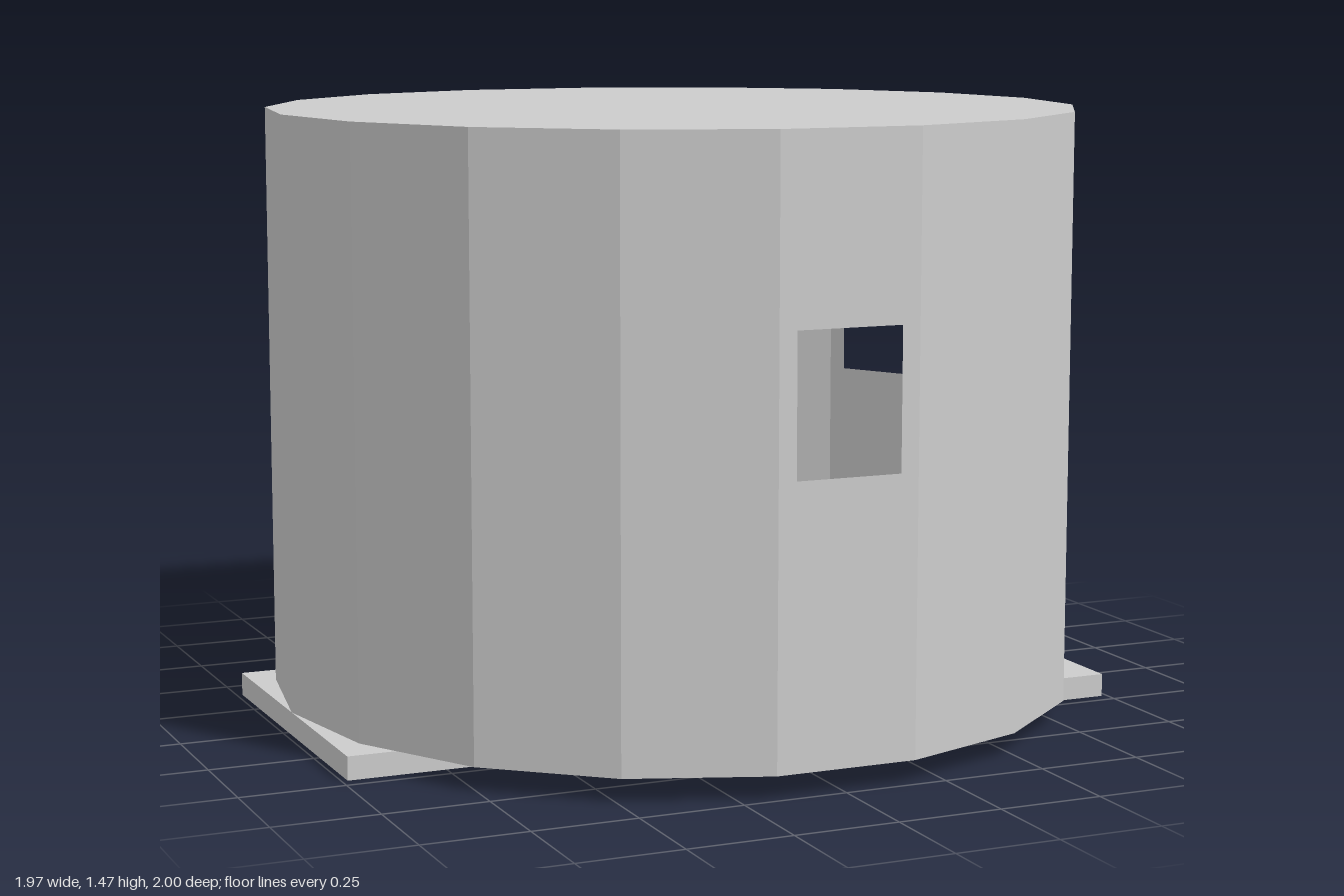
import * as THREE from 'three';

const SIDES = 18, RADIUS = 0.986, BOTTOM = 0.056, TOP = 1.474, CENTRE_Z = 0.029;
const STEP = (Math.PI * 2) / SIDES;
const APOTHEM = RADIUS * Math.cos(STEP / 2);
const HALF = RADIUS * Math.sin(STEP / 2);
const WIN = { w: 0.128, y0: 0.71, y1: 1.04 };

// Rectangle outline as a list of points
const rect = (w, y0, y1) => [[-w, y0], [w, y0], [w, y1], [-w, y1]].map(([x, y]) => new THREE.Vector2(x, y));

export function createModel() {
  const model = new THREE.Group();
  const grey = new THREE.MeshStandardMaterial({ color: 0xcccccc, side: THREE.DoubleSide });
  grey.name = 'pale grey';

  const add = (name, geometry, parent = model) => {
    const mesh = new THREE.Mesh(geometry, grey);
    mesh.name = name;
    parent.add(mesh);
    return mesh;
  };

  // Faceted shell of single-sheet panels, three of them with window openings
  const drum = new THREE.Group();
  drum.name = 'drum';
  drum.position.z = CENTRE_Z;
  model.add(drum);
  const windowPanels = [0, 6, 9]; // front, left rear, back
  for (let i = 0; i < SIDES; i++) {
    const shape = new THREE.Shape(rect(HALF, BOTTOM, TOP));
    if (windowPanels.includes(i)) shape.holes.push(new THREE.Path(rect(WIN.w, WIN.y0, WIN.y1).reverse()));
    const panel = add(windowPanels.includes(i) ? 'windowPanel' : 'wallPanel', new THREE.ShapeGeometry(shape), drum);
    panel.position.set(Math.sin(i * STEP) * APOTHEM, 0, Math.cos(i * STEP) * APOTHEM);
    panel.rotation.y = i * STEP;
  }

  // Flat roof; the drum is open underneath
  const roof = add('roof', new THREE.CircleGeometry(RADIUS, SIDES).rotateX(-Math.PI / 2), drum);
  roof.position.y = TOP;

  // Base slab
  const slab = add('baseSlab', new THREE.BoxGeometry(RADIUS * 2, BOTTOM, 0.87));
  slab.position.set(0, BOTTOM / 2, CENTRE_Z);

  // Thin open frame just behind the back window
  const frame = new THREE.Group();
  frame.name = 'backWindowFrame';
  model.add(frame);
  const depth = 0.042, height = 0.305, z = -1 + depth / 2;
  for (const s of [-1, 1]) {
    const post = add('framePost', new THREE.PlaneGeometry(depth, height).rotateY(s * Math.PI / 2), frame);
    post.position.set(s * WIN.w, WIN.y0 + height / 2, z);
    const rail = add('frameRail', new THREE.PlaneGeometry(WIN.w * 2, depth).rotateX(-s * Math.PI / 2), frame);
    rail.position.set(0, WIN.y0 + (s > 0 ? height : 0), z);
  }
  return model;
}
